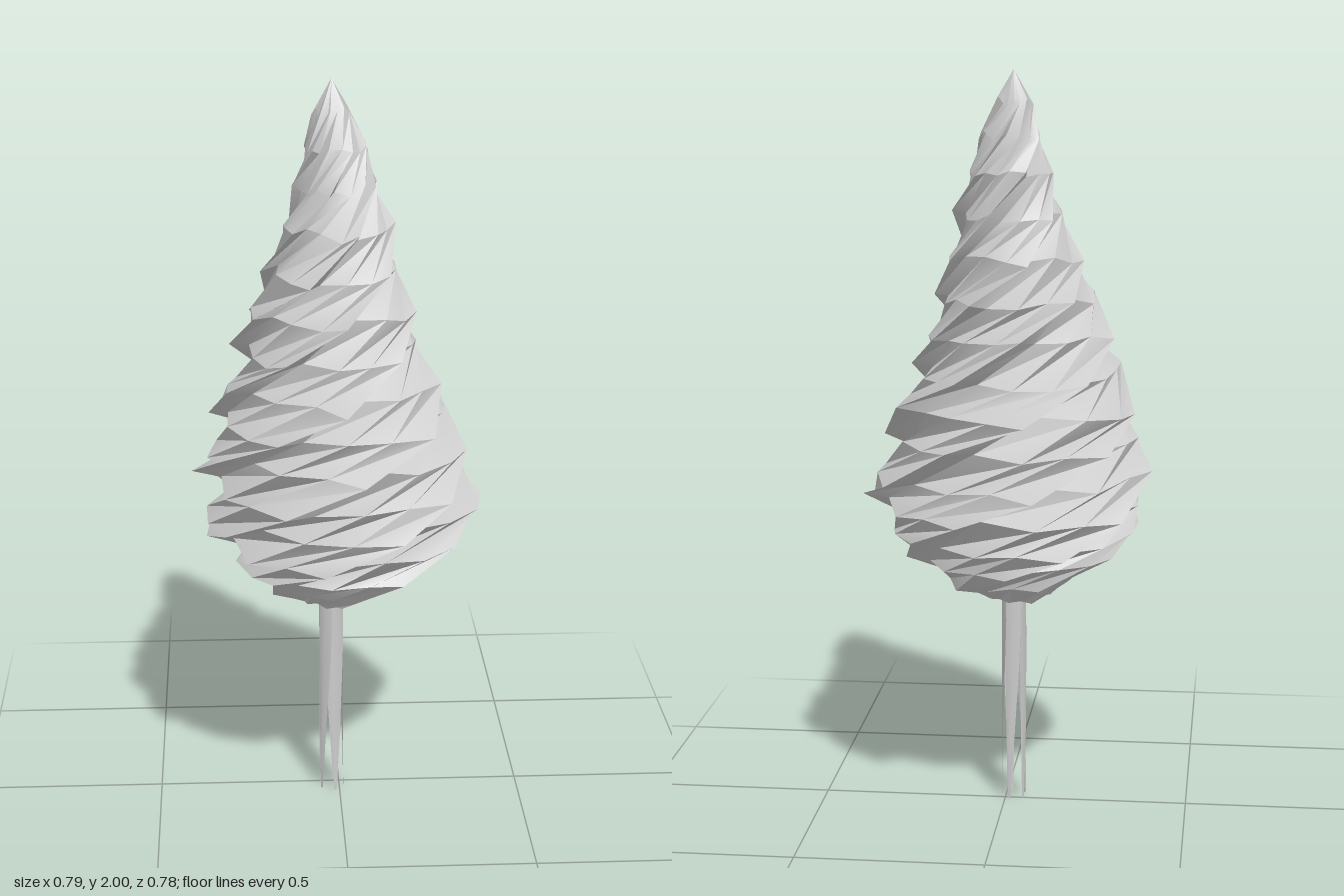
import * as THREE from 'three';
import { toCreasedNormals } from 'three/addons/utils/BufferGeometryUtils.js';

const material = new THREE.MeshStandardMaterial({ color: 0xcccccc, side: THREE.DoubleSide });

// Small repeatable noise source, -1 to 1
let seed = 7;
function noise() {
  seed = (seed * 16807) % 2147483647;
  return (seed / 2147483647) * 2 - 1;
}

// Skins rows of points; closed rows wrap around
function skin(rows, closed) {
  const n = rows[0].length;
  const index = [];
  for (let r = 0; r < rows.length - 1; r++) {
    for (let i = 0; i < (closed ? n : n - 1); i++) {
      const a = r * n + i;
      const b = r * n + ((i + 1) % n);
      index.push(a, b, b + n, a, b + n, a + n);
    }
  }
  const geometry = new THREE.BufferGeometry();
  geometry.setAttribute('position', new THREE.Float32BufferAttribute(rows.flat(2), 3));
  geometry.setIndex(index);
  return geometry;
}

// Cross-sections of the crown: height, outer radius, centre x, centre z
const sections = [
  [0.64, 0.01, -0.02, 0.02], [0.58, 0.09, -0.03, 0.02], [0.63, 0.19, -0.01, 0.02],
  [0.70, 0.29, -0.02, 0.02], [0.77, 0.35, -0.01, 0.01], [0.85, 0.385, 0, 0],
  [0.93, 0.37, -0.01, 0.02], [1.02, 0.355, -0.02, 0.03], [1.11, 0.335, -0.02, 0.03],
  [1.20, 0.29, -0.03, 0.03], [1.30, 0.25, -0.03, 0.04], [1.40, 0.225, -0.03, 0.04],
  [1.51, 0.185, -0.02, 0.04], [1.62, 0.15, -0.01, 0.04], [1.73, 0.115, -0.01, 0.03],
  [1.83, 0.085, -0.01, 0.03], [1.92, 0.05, -0.02, 0.02], [2.0, 0.001, -0.02, 0.02],
];

// Wound crown: sharp-edged folds climb around it as a helix
function crown() {
  const folds = 5;
  const fold = [[0, 0.8], [0.35, 0.9], [0.65, 0.95], [0.9, 1.02]]; // phase, radius factor
  const rows = sections.map(([y, radius, cx, cz], s) => {
    const row = [];
    const end = s === 0 || s === sections.length - 1;
    for (let f = 0; f < folds; f++) {
      for (const [phase, factor] of fold) {
        const angle = ((f + phase) / folds) * Math.PI * 2 + y * 6.5 + (end ? 0 : noise() * 0.04);
        const r = radius * (factor + noise() * 0.04);
        const lift = end ? 0 : noise() * 0.014;
        row.push([cx + Math.sin(angle) * r, y + lift, cz + Math.cos(angle) * r]);
      }
    }
    return row;
  });
  const mesh = new THREE.Mesh(toCreasedNormals(skin(rows, true), 0.6), material);
  mesh.name = 'crown';
  return mesh;
}

// One thin, curved strip of the trunk, narrowing toward the ground
function trunkStrip(start) {
  const rows = [[0, 0.12], [0.14, 0.3], [0.4, 0.6], [0.56, 0.66], [0.7, 0.66]].map(([y, half]) => {
    const middle = start + y * 0.7;
    return [-1, 0, 1].map((side) => {
      const angle = middle + side * half;
      return [-0.022 + Math.sin(angle) * 0.034, y, 0.022 + Math.cos(angle) * 0.036];
    });
  });
  const geometry = skin(rows, false);
  geometry.computeVertexNormals();
  const mesh = new THREE.Mesh(geometry, material);
  mesh.name = 'trunkStrip';
  return mesh;
}

export function createModel() {
  seed = 7;
  const model = new THREE.Group();
  model.name = 'tree';
  model.add(crown());

  // Trunk made of separate strips with gaps between their feet
  const trunk = new THREE.Group();
  trunk.name = 'trunk';
  for (let i = 0; i < 5; i++) trunk.add(trunkStrip((i / 5) * Math.PI * 2 + 0.3));
  model.add(trunk);
  return model;
}
